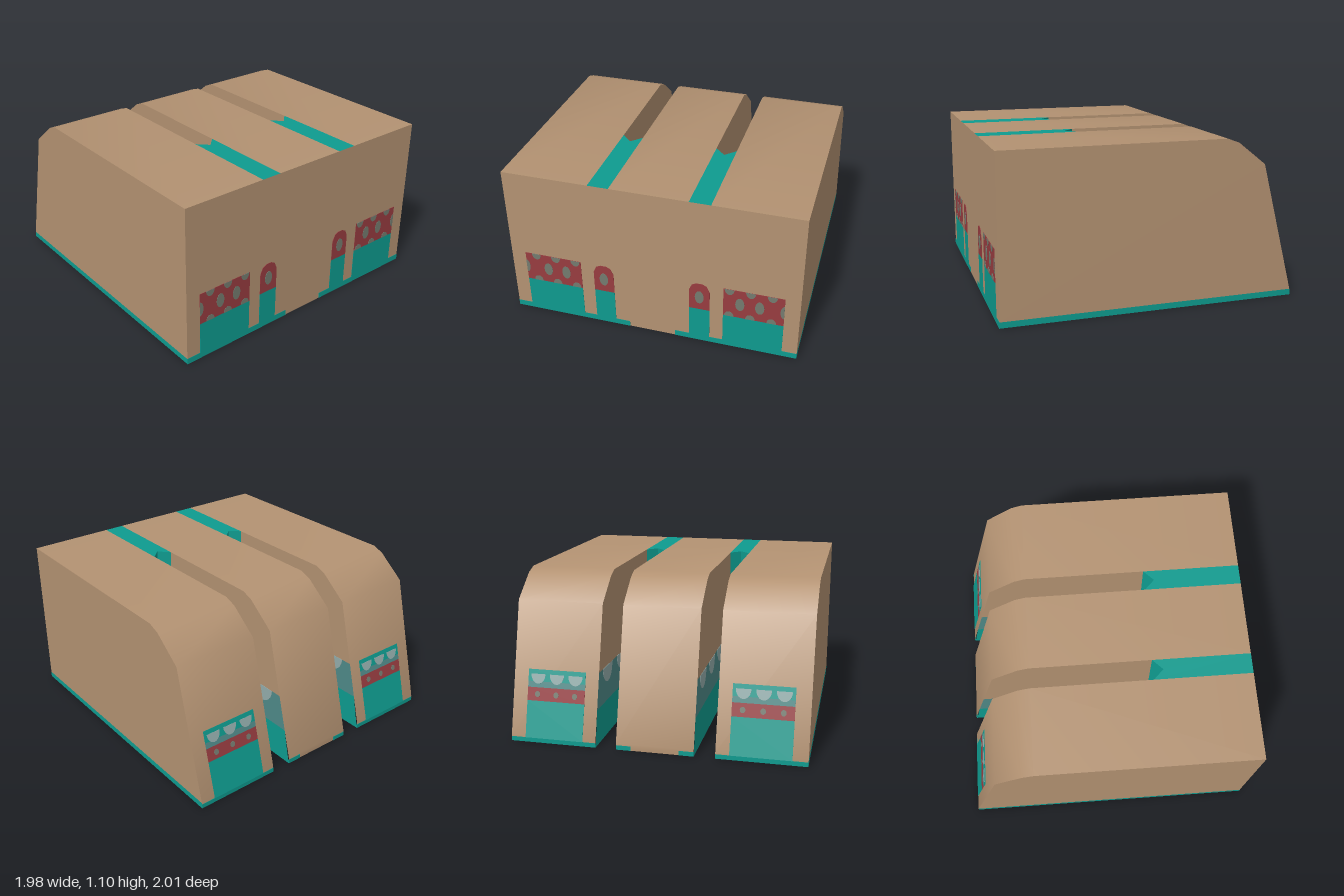
import * as THREE from 'three';
import { toCreasedNormals } from 'three/addons/utils/BufferGeometryUtils.js';

const mat = (name, color) => {
  const m = new THREE.MeshStandardMaterial({ color, side: THREE.DoubleSide });
  m.name = name;
  return m;
};

// Main dimensions
const W = 0.99, H = 1.1, SLOT_IN = 0.26, SLOT_OUT = 0.4, SLOT_END = 0.33, SLOT_TIP = 0.4, RIM = 0.04;
// Roof and back slope as [z, y], front to back
const ROOF = [[1, H], [-0.5, H], [-0.58, 1.07], [-0.77, 0.92], [-1, RIM], [-1, 0]];
const SLOPE = Math.atan2(0.23, 0.92 - RIM);
const backZ = y => (y <= RIM ? -1 : -1 + (y - RIM) * Math.tan(SLOPE));

export function createModel() {
  const model = new THREE.Group();
  const tan = mat('tan', 0xb39272), teal = mat('teal', 0x0e9b8f), red = mat('red', 0x983c40),
    grey = mat('grey', 0x747b6f), haze = mat('dull teal', 0x4f8a88), pale = mat('pale grey', 0x93adab);

  const add = (parent, name, geometry, material) => {
    const mesh = new THREE.Mesh(geometry, material);
    mesh.name = name;
    parent.add(mesh);
    return mesh;
  };
  // Surface between two matching polylines, smooth over gentle bends
  const loft = (a, b) => {
    const p = [];
    for (let i = 0; i < a.length - 1; i++) {
      p.push(...a[i], ...b[i], ...b[i + 1], ...a[i], ...b[i + 1], ...a[i + 1]);
    }
    const g = new THREE.BufferGeometry();
    g.setAttribute('position', new THREE.Float32BufferAttribute(p, 3));
    g.computeVertexNormals();
    return toCreasedNormals(g, 0.75);
  };
  const poly = pts => new THREE.Shape(pts.map(p => new THREE.Vector2(...p)));
  const rect = (x0, x1, y0, y1) => poly([[x0, y0], [x1, y0], [x1, y1], [x0, y1]]);
  const oval = (x, y, rx, ry, from = 0, to = Math.PI * 2) =>
    new THREE.Shape().absellipse(x, y, rx, ry, from, to, false);
  // Thin painted plate that shows on both sides of a wall
  const plate = (shape, depth = 0.005) =>
    new THREE.ExtrudeGeometry(shape, { depth, bevelEnabled: false, curveSegments: 10 }).translate(0, 0, -depth / 2);
  // Lengthwise wall drawn in (z, y) and stood at a given x
  const wall = (shape, x) => new THREE.ShapeGeometry(shape).rotateY(-Math.PI / 2).translate(x, 0, 0);
  const band = (y0, y1, front) => poly([[front, y0], [front, y1], [backZ(y1), y1], [backZ(y0), y0]]);
  const upper = (y0, front) => poly([[front, y0], [front, H], ...ROOF.slice(1, 4), [backZ(y0), y0]]);

  // Three roof sections running over the top and down the back
  for (const [x0, x1] of [[-W, -SLOT_OUT], [-SLOT_IN, SLOT_IN], [SLOT_OUT, W]]) {
    add(model, 'roofSection', loft(ROOF.map(([z, y]) => [x0, y, z]), ROOF.map(([z, y]) => [x1, y, z])), tan);
  }
  add(model, 'frontWall', new THREE.PlaneGeometry(2 * W, H).translate(0, H / 2, 1), tan);

  // Sloped frame for everything painted on the back
  const back = new THREE.Group();
  back.name = 'backPanels';
  back.position.set(0, RIM, -1);
  back.rotation.x = SLOPE;
  model.add(back);

  for (const s of [-1, 1]) {
    // Outer wall with its coloured rim
    add(model, 'sideWall', wall(upper(RIM, 1), s * W), tan);
    add(model, 'sideRim', wall(band(0, RIM, 1), s * W), teal);
    add(model, 'frontRim', plate(rect(s * 0.16, s * W, 0, RIM)).translate(0, 0, 1), teal);
    add(model, 'backRim', plate(rect(s * 0.16, s * SLOT_IN, 0, RIM * 0.75)).translate(0, 0, -1), teal);
    add(model, 'backRim', plate(rect(s * SLOT_OUT, s * W, 0, RIM * 0.75)).translate(0, 0, -1), teal);

    // Slot walls: teal base, dull band with hanging scallops, tan above
    for (const x of [SLOT_IN, SLOT_OUT]) {
      add(model, 'slotWallBase', wall(band(0, 0.24, SLOT_END), s * x), teal);
      add(model, 'slotWallBand', wall(band(0.24, 0.48, SLOT_END), s * x), haze);
      add(model, 'slotWallTop', wall(upper(0.48, SLOT_END), s * x), tan);
      for (let i = 0; i < 4; i++) {
        const scallop = plate(oval(0.22 - i * 0.31, 0.48, 0.1, 0.11, Math.PI, 2 * Math.PI));
        add(model, 'slotScallop', scallop.rotateY(-Math.PI / 2).translate(s * x, 0, 0), pale);
      }
    }
    // Pointed slot end and the strip carrying on along the roof
    const vee = [[SLOT_IN, SLOT_END], [(SLOT_IN + SLOT_OUT) / 2, SLOT_TIP], [SLOT_OUT, SLOT_END]];
    add(model, 'slotEnd', loft(vee.map(([x, z]) => [s * x, 0, z]), vee.map(([x, z]) => [s * x, H, z])), teal);
    const strip = poly([...vee, [SLOT_OUT, 1], [SLOT_IN, 1]].map(([x, z]) => [s * x, z]));
    add(model, 'roofStrip', new THREE.ShapeGeometry(strip).rotateX(Math.PI / 2).translate(0, H, 0), teal);

    // Front panels: wide one and narrow round-topped one
    const front = (name, shape, material, depth) => add(model, name, plate(shape, depth).translate(0, 0, 1), material);
    front('widePanelBase', rect(s * 0.49, s * 0.89, RIM, 0.26), teal);
    front('widePanelBand', rect(s * 0.49, s * 0.89, 0.26, 0.48), red);
    for (const x of [0.6, 0.73]) front('panelDot', oval(s * x, 0.37, 0.03, 0.05), grey, 0.009);
    front('panelDot', oval(s * 0.89, 0.37, 0.025, 0.05, s > 0 ? Math.PI / 2 : -Math.PI / 2,
      s > 0 ? Math.PI * 1.5 : Math.PI / 2), grey, 0.009);
    for (const x of [0.53, 0.67, 0.81]) {
      front('panelDot', oval(s * x, 0.48, 0.032, 0.042, Math.PI, 2 * Math.PI), grey, 0.009);
      front('panelDot', oval(s * x, 0.26, 0.032, 0.038, 0, Math.PI), grey, 0.009);
    }
    front('narrowPanelBase', rect(s * SLOT_IN, s * SLOT_OUT, RIM, 0.27), teal);
    front('narrowPanelBand', poly([[0.26, 0.27], [0.4, 0.27], [0.4, 0.42], [0.38, 0.465], [0.35, 0.48],
      [0.31, 0.48], [0.28, 0.465], [0.26, 0.42]].map(([x, y]) => [s * x, y])), red);
    front('panelDot', oval(s * 0.33, 0.37, 0.03, 0.05), grey, 0.009);

    // Back panel: teal base, dotted red band, scalloped top band
    add(back, 'backPanelBase', plate(rect(s * 0.49, s * 0.89, -0.01, 0.24)), teal);
    add(back, 'backPanelBand', plate(rect(s * 0.49, s * 0.89, 0.24, 0.33)), red);
    add(back, 'backPanelTop', plate(rect(s * 0.49, s * 0.89, 0.33, 0.37)), haze);
    add(back, 'backPanelEdge', plate(rect(s * 0.49, s * 0.89, 0.37, 0.45)), teal);
    for (let i = 0; i < 3; i++) {
      const x = s * (0.56 + i * 0.13);
      add(back, 'backScallop', plate(oval(x, 0.42, 0.05, 0.065, Math.PI, 2 * Math.PI), 0.009), pale);
      add(back, 'backDot', plate(oval(x, 0.285, 0.018, 0.02), 0.009), grey);
    }
  }
  return model;
}
